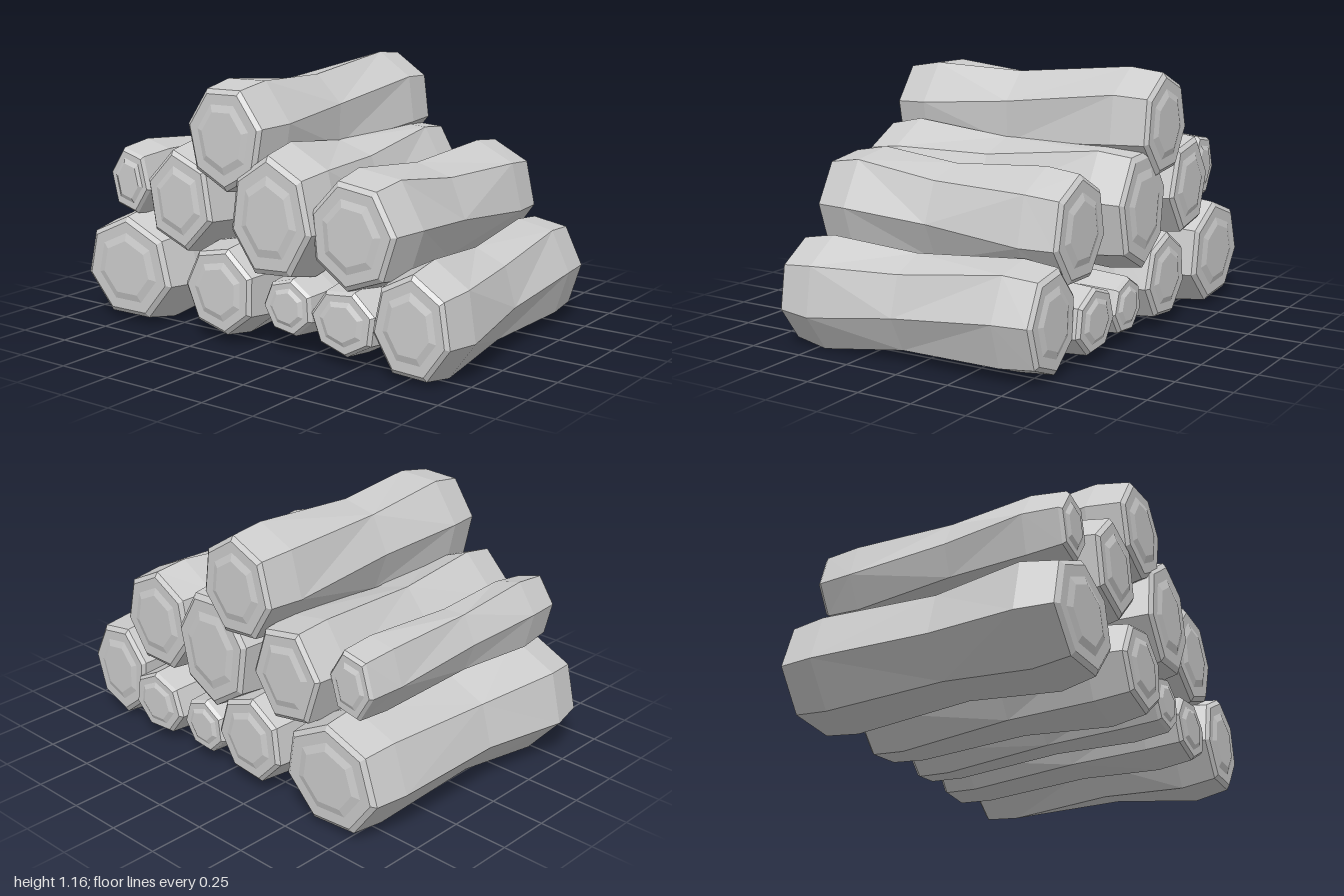
import * as THREE from 'three';

// Each log: ends along x, centre and radii of its cross-section in z and y, number of sides,
// angle of the first corner and twist to the left-hand end in degrees, and drift of that end [z, y]
const LOGS = [
  { name: 'frontBottomLog', x0: -0.64, x1: 0.6, z: 0.75, y: 0.24, rz: 0.2, ry: 0.24, sides: 7, turn: 5, twist: -20, drift: [0.04, -0.01] },
  { name: 'smallBottomLog', x0: -0.62, x1: 0.63, z: 0.45, y: 0.18, rz: 0.175, ry: 0.155, sides: 7, turn: 34, twist: -15, drift: [0, 0.01] },
  { name: 'thinBottomLog', x0: -0.62, x1: 0.62, z: 0.15, y: 0.17, rz: 0.14, ry: 0.135, sides: 7, turn: 44, twist: -15, drift: [0.02, 0.04] },
  { name: 'middleBottomLog', x0: -0.66, x1: 0.65, z: -0.17, y: 0.235, rz: 0.205, ry: 0.21, sides: 7, turn: 44, twist: -20, drift: [0, 0] },
  { name: 'backBottomLog', x0: -0.65, x1: 0.67, z: -0.66, y: 0.25, rz: 0.275, ry: 0.255, sides: 7, turn: 34, twist: 5, drift: [-0.05, 0] },
  { name: 'frontMiddleLog', x0: -0.63, x1: 0.58, z: 0.49, y: 0.56, rz: 0.23, ry: 0.25, sides: 7, turn: -12, twist: 18, drift: [0.01, 0] },
  { name: 'centreMiddleLog', x0: -0.67, x1: 0.645, z: 0.055, y: 0.58, rz: 0.23, ry: 0.285, sides: 7, turn: 10, twist: -20, drift: [0.06, 0.01] },
  { name: 'backMiddleLog', x0: -0.65, x1: 0.65, z: -0.395, y: 0.61, rz: 0.205, ry: 0.24, sides: 6, turn: -9, twist: -10, drift: [0, -0.01] },
  { name: 'thinMiddleLog', x0: -0.61, x1: 0.58, z: -0.69, y: 0.645, rz: 0.125, ry: 0.165, sides: 6, turn: 8, twist: -20, drift: [-0.03, 0] },
  { name: 'topLog', x0: -0.66, x1: 0.66, z: -0.12, y: 0.92, rz: 0.22, ry: 0.245, sides: 7, turn: 34, twist: -20, drift: [-0.01, -0.02] },
];

// Rings of one end, from the cut face outwards: [inset from the end, scale]
const END = [[0, 0], [0, 0.5], [0.01, 0.64], [0.01, 0.84], [0.025, 0.93]];

function logGeometry({ x0, x1, z, y, rz, ry, sides, turn, twist, drift }) {
  // A log swells near both ends and narrows at the waist
  const stations = [
    ...END.map(([inset, s]) => [x0 + inset, s]),
    [x0 + 0.18, 1.05], [-0.06, 0.88], [x1 - 0.18, 1],
    ...END.map(([inset, s]) => [x1 - inset, s]).reverse(),
  ];

  // Sections twist and drift slightly towards the left-hand end
  const rings = stations.map(([x, scale]) => {
    const t = THREE.MathUtils.clamp((0.45 - x) / 0.9, 0, 1);
    return Array.from({ length: sides }, (_, j) => {
      const angle = THREE.MathUtils.degToRad(turn + twist * t) + (j / sides) * Math.PI * 2;
      return [
        x,
        Math.max(0, y + drift[1] * t + Math.sin(angle) * ry * scale),
        z + drift[0] * t + Math.cos(angle) * rz * scale,
      ];
    });
  });

  const pos = [];
  for (let i = 0; i < rings.length - 1; i++) {
    for (let j = 0; j < sides; j++) {
      const k = (j + 1) % sides;
      const a = rings[i][j], b = rings[i][k], c = rings[i + 1][k], d = rings[i + 1][j];
      // alternate diagonals give the bark its facets
      if ((i + j) % 2) pos.push(...a, ...d, ...b, ...b, ...d, ...c);
      else pos.push(...a, ...d, ...c, ...a, ...c, ...b);
    }
  }
  const geometry = new THREE.BufferGeometry();
  geometry.setAttribute('position', new THREE.Float32BufferAttribute(pos, 3));
  geometry.computeVertexNormals();
  return geometry;
}

export function createModel() {
  const group = new THREE.Group();
  group.name = 'logPile';
  const material = new THREE.MeshStandardMaterial({ color: 0xcccccc, flatShading: true });
  for (const log of LOGS) {
    const mesh = new THREE.Mesh(logGeometry(log), material);
    mesh.name = log.name;
    group.add(mesh);
  }
  return group;
}
